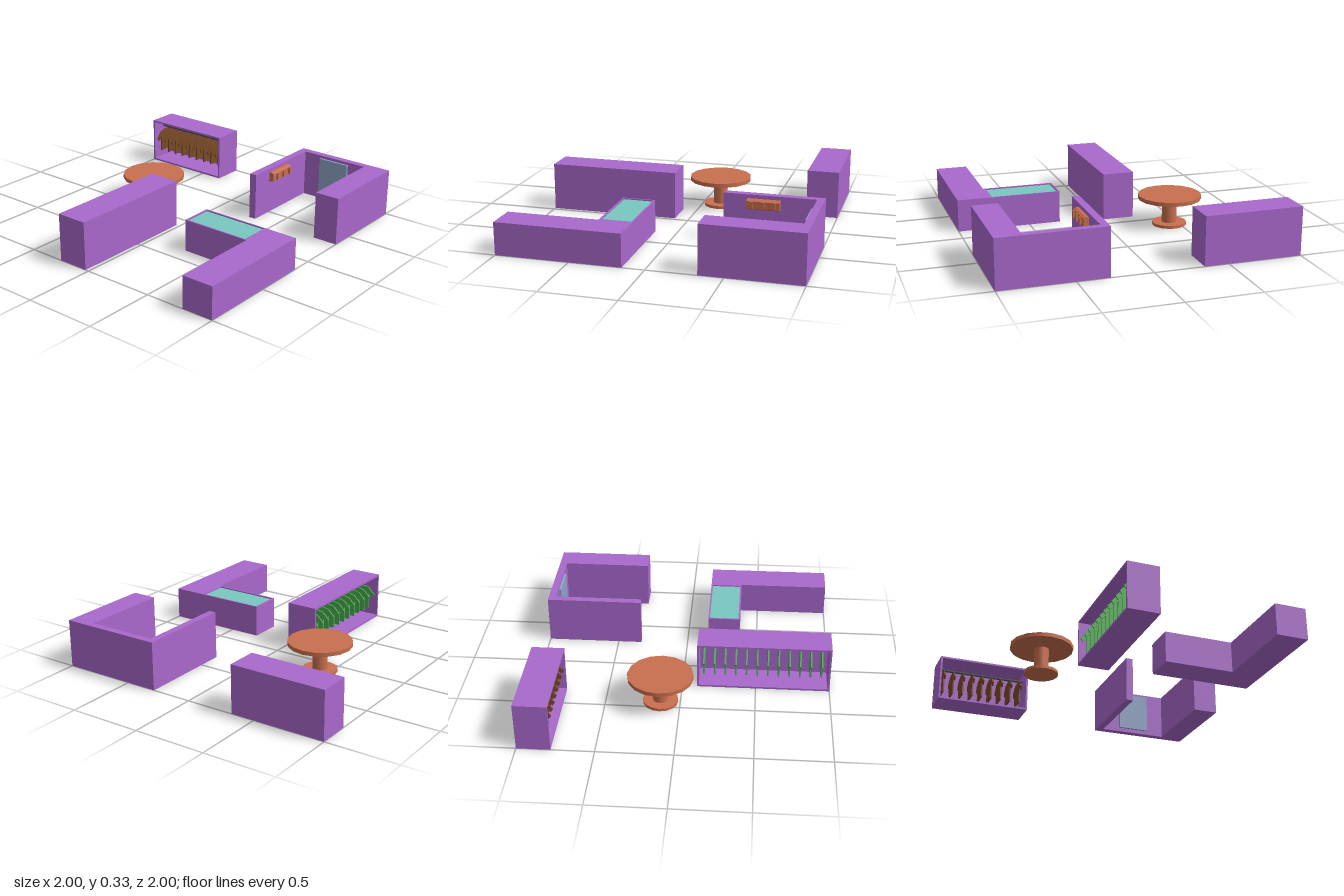
import * as THREE from 'three';

const mat = (color) => new THREE.MeshStandardMaterial({ color });
const PURPLE = mat(0xa968cc), WOOD = mat(0xc96f4e), BROWN = mat(0x7a4a26), GREEN = mat(0x4caf50);
const TEAL = mat(0x78c8c0), MIRROR = mat(0x90a4c8), STEEL = mat(0x4a4a5c);

function add(parent, name, geometry, material, x = 0, y = 0, z = 0) {
  const mesh = new THREE.Mesh(geometry, material);
  mesh.name = name;
  mesh.position.set(x, y, z);
  parent.add(mesh);
  return mesh;
}

// Box given by its minimum and maximum corners
function block(parent, name, material, [x0, y0, z0], [x1, y1, z1]) {
  return add(parent, name, new THREE.BoxGeometry(x1 - x0, y1 - y0, z1 - z0), material,
    (x0 + x1) / 2, (y0 + y1) / 2, (z0 + z1) / 2);
}

const outline = (points) => new THREE.Shape(points.map(([x, y]) => new THREE.Vector2(x, y)));
const rect = (x0, y0, x1, y1) => outline([[x0, y0], [x1, y0], [x1, y1], [x0, y1]]);

// Floor plan in (x, z) raised to a height
function raisePlan(shape, height) {
  return new THREE.ExtrudeGeometry(shape, { depth: height, bevelEnabled: false })
    .rotateX(Math.PI / 2).translate(0, height, 0);
}

// Thin shirt silhouette, standing across the rail
function shirtGeometry() {
  const half = [[0.022, 0.245], [0.06, 0.235], [0.108, 0.185], [0.092, 0.16], [0.062, 0.19], [0.064, 0.075]];
  const points = [...half, ...half.map(([x, y]) => [-x, y]).reverse()];
  return new THREE.ExtrudeGeometry(outline(points), { depth: 0.01, bevelEnabled: false })
    .translate(0, 0, -0.005).rotateY(Math.PI / 2);
}

// Open-fronted clothes cabinet, centred, facing +z
function clothesRack(name, length, count, first, step, material) {
  const rack = new THREE.Group();
  rack.name = name;
  const h = 0.33, d = 0.22, t = 0.013, l = length / 2;
  const frame = rect(-l, 0, l, h);
  frame.holes.push(rect(-l + t, t, l - t, h - t));
  add(rack, 'cabinetFrame', new THREE.ExtrudeGeometry(frame, { depth: d, bevelEnabled: false }), PURPLE, 0, 0, -d / 2);
  block(rack, 'cabinetBack', PURPLE, [-l + t, t, -d / 2], [l - t, h - t, -d / 2 + t]);
  add(rack, 'rail', new THREE.CylinderGeometry(0.009, 0.009, length - 2 * t, 10).rotateZ(Math.PI / 2), STEEL, 0, 0.265, 0);
  const shirt = shirtGeometry();
  const hook = new THREE.TorusGeometry(0.016, 0.004, 5, 10, Math.PI * 1.3)
    .rotateZ(-Math.PI * 0.3).rotateY(Math.PI / 2);
  for (let i = 0; i < count; i++) {
    const x = -l + first + i * step;
    add(rack, 'shirt', shirt, material, x, 0, 0);
    add(rack, 'hangerHook', hook, material, x, 0.272, 0);
  }
  return rack;
}

export function createModel() {
  const model = new THREE.Group();

  // Clothes cabinets
  const backRack = clothesRack('backClothesRack', 0.665, 9, 0.04, 0.072, BROWN);
  backRack.position.set(-0.6675, 0, -0.89);
  const sideRack = clothesRack('sideClothesRack', 0.9, 12, 0.045, 0.0725, GREEN);
  sideRack.position.set(-0.135, 0, 0.55);
  sideRack.rotation.y = -Math.PI / 2;
  model.add(backRack, sideRack);

  // Round pedestal table
  const table = new THREE.Group();
  table.name = 'roundTable';
  table.position.set(-0.432, 0, -0.132);
  for (const [name, r, y0, y1] of [['tableBase', 0.118, 0, 0.02], ['tableColumn', 0.051, 0.02, 0.19], ['tableTop', 0.22, 0.19, 0.218]]) {
    add(table, name, new THREE.CylinderGeometry(r, r, y1 - y0, 16), WOOD, 0, (y0 + y1) / 2, 0);
  }
  model.add(table);

  // Fitting room: back wall, thin side wall and thick side block
  const room = new THREE.Group();
  room.name = 'fittingRoom';
  const walls = outline([[0.282, -1], [1, -1], [1, -0.335], [0.825, -0.335], [0.825, -0.95],
    [0.333, -0.95], [0.333, -0.335], [0.282, -0.335]]);
  add(room, 'roomWalls', raisePlan(walls, 0.33), PURPLE);
  block(room, 'mirror', MIRROR, [0.465, 0.03, -0.951], [0.695, 0.31, -0.935]);

  // Coat rack: bevelled board with three pegs
  const board = outline([[0.333, 0.236], [0.352, 0.236], [0.37, 0.246], [0.37, 0.295], [0.352, 0.305], [0.333, 0.305]]);
  add(room, 'coatRackBoard', new THREE.ExtrudeGeometry(board, { depth: 0.22, bevelEnabled: false }), WOOD, 0, 0, -0.715);
  for (const z of [-0.68, -0.607, -0.533]) {
    block(room, 'peg', WOOD, [0.368, 0.258, z - 0.006], [0.38, 0.282, z + 0.006]);
    block(room, 'pegTip', WOOD, [0.376, 0.25, z - 0.009], [0.387, 0.298, z + 0.009]);
  }
  model.add(room);

  // L-shaped counter with a sunken glass top
  const counter = new THREE.Group();
  counter.name = 'counter';
  const plan = outline([[0.282, 0.15], [1, 0.15], [1, 1], [0.777, 1], [0.777, 0.375], [0.282, 0.375]]);
  plan.holes.push(rect(0.293, 0.16, 0.76, 0.364));
  add(counter, 'counterBody', raisePlan(plan, 0.222), PURPLE);
  block(counter, 'glassTop', TEAL, [0.293, 0.2, 0.16], [0.76, 0.214, 0.364]);
  block(counter, 'counterFloor', PURPLE, [0.293, 0, 0.16], [0.76, 0.012, 0.364]);
  model.add(counter);

  return model;
}
